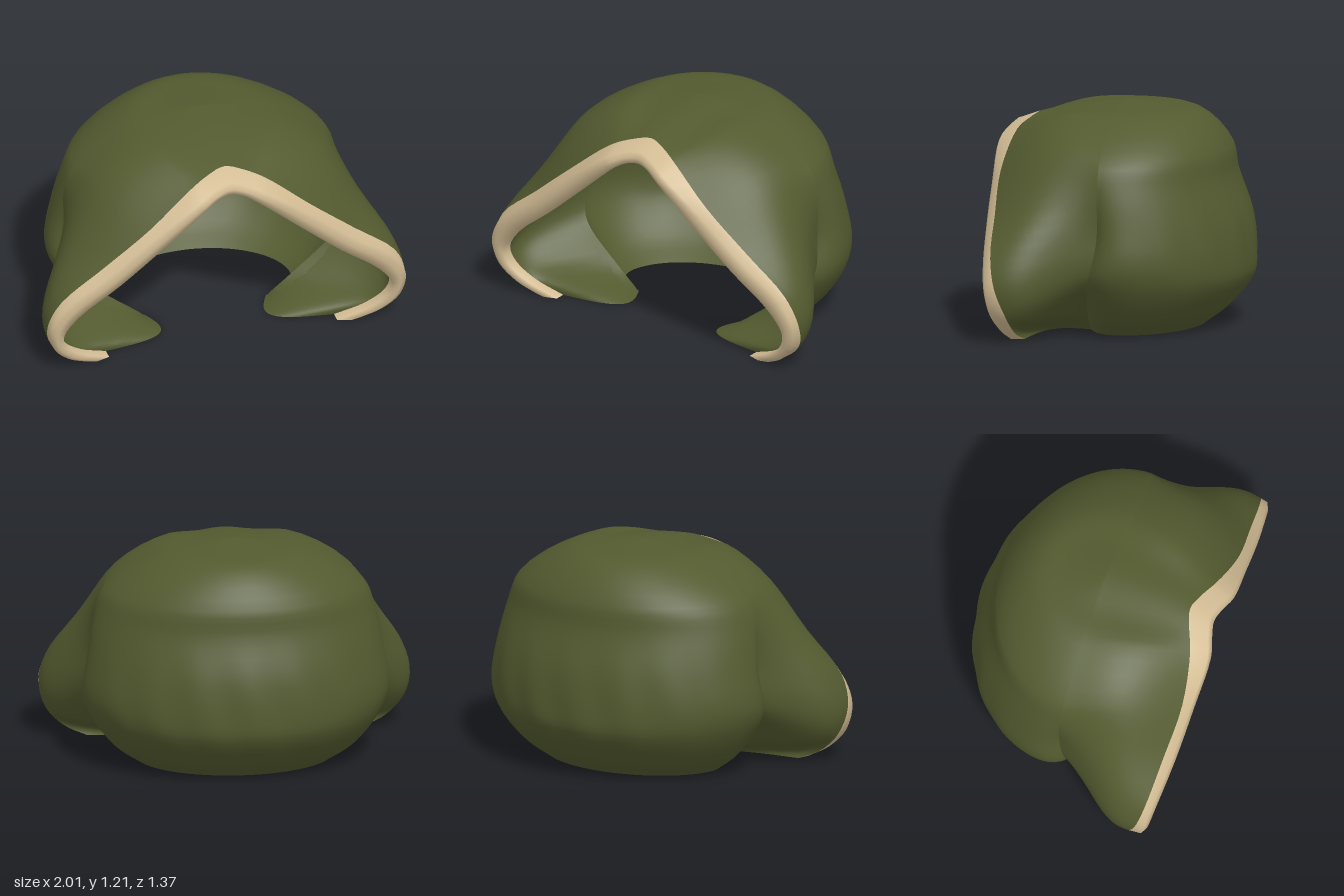
import * as THREE from 'three';

const N = 72; // samples across each left-to-right arch
const step = THREE.MathUtils.smoothstep;

// Mirrors a half profile (crown first) and samples the whole arch smoothly.
function arch(half) {
  const pts = half.map(p => new THREE.Vector3(...p));
  const mirrored = pts.slice(1).reverse().map(p => new THREE.Vector3(-p.x, p.y, p.z));
  return new THREE.CatmullRomCurve3([...mirrored, ...pts]).getPoints(N);
}

// Skins a list of equally long point rows.
function loft(rows) {
  const w = rows[0].length, pos = [], idx = [];
  rows.forEach(r => r.forEach(p => pos.push(p.x, Math.max(0, p.y), p.z)));
  for (let i = 0; i < rows.length - 1; i++) {
    for (let j = 0; j < w - 1; j++) {
      const a = i * w + j, b = a + 1, c = a + w, d = c + 1;
      idx.push(a, c, b, b, c, d);
    }
  }
  const g = new THREE.BufferGeometry();
  g.setAttribute('position', new THREE.Float32BufferAttribute(pos, 3));
  g.setIndex(idx);
  g.computeVertexNormals();
  return g;
}

// Rows from the side fold to the face: full shoulders, flared cheeks, hem tucked inward.
function flare(fold, face, steps) {
  return Array.from({ length: steps + 1 }, (_, i) => {
    const t = i / steps, mid = Math.sin(Math.PI * t);
    const swell = Math.sin(Math.PI * t ** 1.6);
    return fold.map((p, j) => {
      const q = p.clone().lerp(face[j], t);
      const row = Math.abs(j - N / 2) / (N / 2) * 9;
      const tuck = 1 - step(q.y, 0, 0.12);
      q.x *= 1 + 0.06 * swell * (1 - tuck);
      q.x -= Math.sign(q.x) * 0.17 * mid * tuck;
      q.z += 0.06 * mid * tuck;
      q.y += mid * (0.015 * step(q.y, 0.2, 0.6) + 0.07 * Math.exp(-(((row - 3) / 1.2) ** 2)));
      return q;
    });
  });
}

export function createModel() {
  const model = new THREE.Group();
  const olive = new THREE.MeshStandardMaterial({ color: 0x535a2f, side: THREE.DoubleSide });
  olive.name = 'olive cloth';
  const tan = new THREE.MeshStandardMaterial({ color: 0xd2bc94, side: THREE.DoubleSide });
  tan.name = 'tan trim';
  const add = (name, rows, material) => {
    const mesh = new THREE.Mesh(loft(rows), material);
    mesh.name = name;
    model.add(mesh);
  };

  // Head dome: half width, height and depth at each level
  const levels = arch([
    [0, 1.21, 0], [0.2, 1.187, 0.21], [0.41, 1.155, 0.41], [0.7, 0.965, 0.575], [0.765, 0.82, 0.6],
    [0.82, 0.6, 0.675], [0.85, 0.4, 0.7], [0.81, 0.27, 0.69], [0.69, 0.1, 0.56], [0.55, 0, 0.43],
  ]);
  // The side fold pinches in, and swings forward and inward near the neck
  const pinch = y => 0.09 * (1 - step(y, 0.5, 0.9)) + 0.28 * (1 - step(y, 0, 0.35));
  const forward = y => 0.12 * (1 - step(y, 0, 0.6));
  const fold = levels.map(p => new THREE.Vector3(p.x * (1 - pinch(p.y)), p.y, 0.02 + forward(p.y)));
  const dome = levels.slice(N / 2).map(p => Array.from({ length: 97 }, (_, k) => {
    const phi = Math.PI * k / 96;
    const side = Math.min(phi, Math.PI - phi);
    // soft wrinkles low on the back
    const low = Math.exp(-(((p.y - 0.42) / 0.25) ** 2)) * Math.sin(phi) ** 2;
    const r = (1 - pinch(p.y) * Math.exp(-side * 14))
      * (1 + 0.008 * low * Math.cos(phi * 18 + 5 * p.y));
    const z = 0.02 + forward(p.y) * Math.exp(-side * 6) - p.z * Math.sin(phi) * r;
    return new THREE.Vector3(p.x * Math.cos(phi) * r, p.y, z);
  }));
  add('headDome', dome, olive);

  // Face opening: outer edge, inner edge and the seam behind the trim
  const seam = arch([
    [0, 1.125, 0.5], [0.1, 1.105, 0.53], [0.21, 1.06, 0.575], [0.45, 0.87, 0.615], [0.7, 0.66, 0.595],
    [0.935, 0.46, 0.57], [1, 0.3, 0.535], [0.97, 0.15, 0.48], [0.87, 0.05, 0.45], [0.75, 0, 0.42],
  ]);
  const outer = arch([
    [0, 1.085, 0.615], [0.09, 1.065, 0.635], [0.2, 1.01, 0.67], [0.45, 0.82, 0.655], [0.7, 0.61, 0.635],
    [0.93, 0.43, 0.605], [0.995, 0.3, 0.585], [0.97, 0.16, 0.56], [0.88, 0.06, 0.525], [0.77, 0, 0.49],
  ]);
  const inner = arch([
    [0, 1.02, 0.625], [0.07, 1.008, 0.64], [0.15, 0.96, 0.66], [0.38, 0.76, 0.65], [0.62, 0.55, 0.63],
    [0.84, 0.37, 0.6], [0.92, 0.25, 0.58], [0.9, 0.16, 0.555], [0.8, 0.07, 0.52], [0.64, 0, 0.48],
  ]);
  const lip = outer.map((p, i) => p.clone().lerp(inner[i], 0.45).add(new THREE.Vector3(0, 0, 0.018)));
  const hem = inner.map(p => p.clone().add(new THREE.Vector3(0, 0, -0.06)));

  // Flared cheeks running forward from the side fold
  add('flaredFront', flare(fold, seam, 16), olive);
  add('faceTrim', [seam, outer, lip, inner, hem], tan);

  // Cloth inside the flare
  const foldInside = fold.map(p => new THREE.Vector3(p.x * 0.98, p.y - 0.015, p.z));
  add('frontLining', flare(foldInside, hem, 16), olive);

  return model;
}
